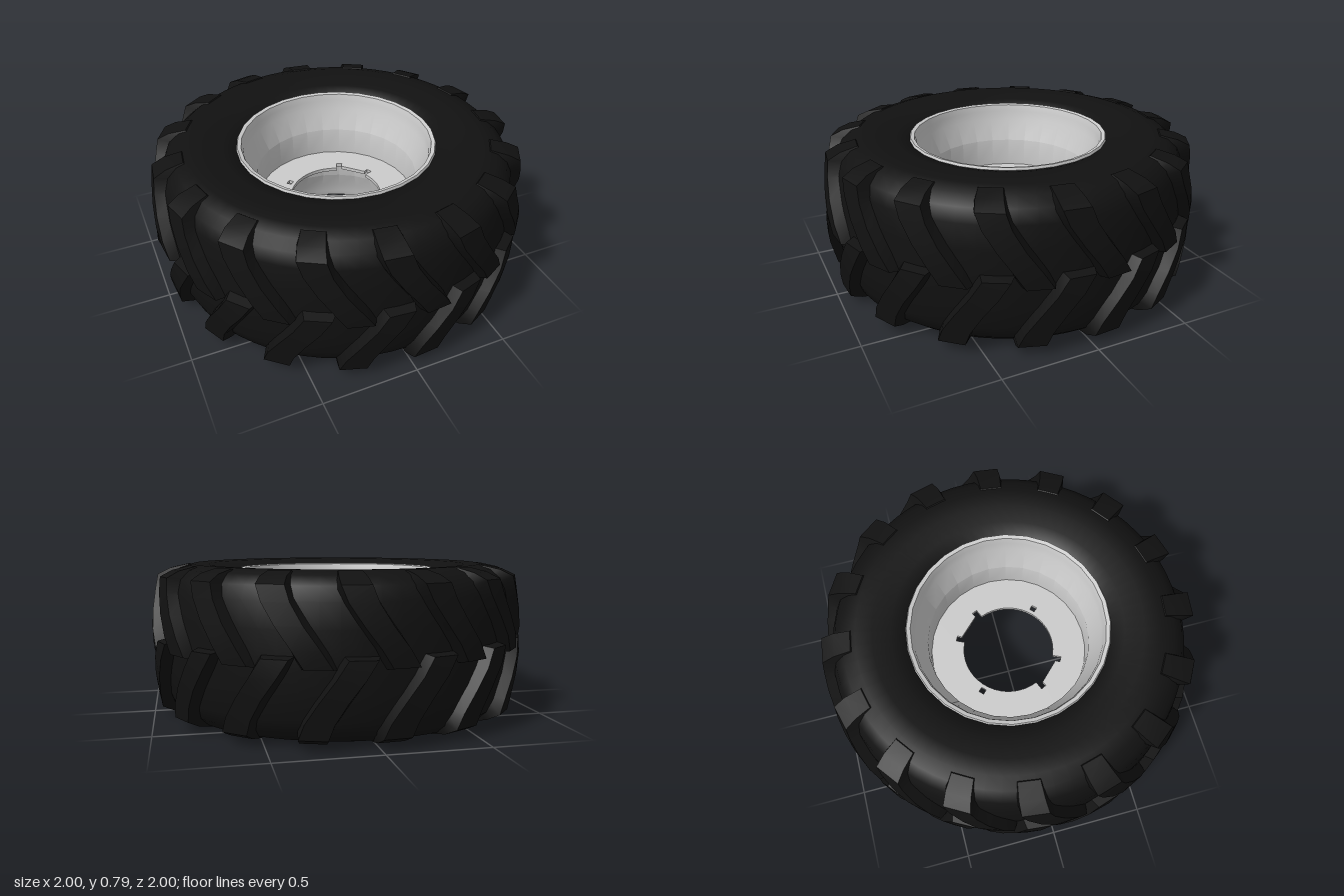
import * as THREE from 'three';
import { toCreasedNormals } from 'three/addons/utils/BufferGeometryUtils.js';

const HEIGHT = 0.79;
const LUGS = 16;
const rubber = new THREE.MeshStandardMaterial({ color: 0x111111 });
const steel = new THREE.MeshStandardMaterial({ color: 0xcccccc, side: THREE.DoubleSide });

// Completes an upper-half profile [radius, y] (top to middle) with its mirror image
function mirroredLathe(half, segments, crease) {
  const upper = half.map(([r, y]) => new THREE.Vector2(r, y));
  const lower = half.map(([r, y]) => new THREE.Vector2(r, HEIGHT - y));
  const geometry = new THREE.LatheGeometry([...lower, ...upper.reverse()], segments);
  return toCreasedNormals(geometry, crease);
}

// Lug stations from the middle of the tread over the shoulder:
// [angle, half width, top radius, top y, base radius, base y]
const STATIONS = [
  [0.10, 0.065, 0.995, 0.375, 0.91, 0.36],
  [0.045, 0.065, 1.0, 0.46, 0.91, 0.46],
  [-0.03, 0.065, 0.992, 0.56, 0.91, 0.56],
  [-0.095, 0.068, 0.978, 0.66, 0.89, 0.65],
  [-0.125, 0.07, 0.965, 0.735, 0.86, 0.69],
  [-0.135, 0.07, 0.9, 0.767, 0.82, 0.72],
  [-0.14, 0.068, 0.81, 0.787, 0.77, 0.75],
];

// One curved tread bar with sloping flanks, lofted through the stations
function lugGeometry(flip) {
  const positions = [];
  const index = [];
  const add = (angle, r, y) =>
    positions.push(r * Math.sin(angle), flip ? HEIGHT - y : y, r * Math.cos(angle));
  for (const [angle, w, rTop, yTop, rBase, yBase] of STATIONS) {
    add(angle - w - 0.03, rBase, yBase);
    add(angle - w, rTop, yTop);
    add(angle + w, rTop, yTop);
    add(angle + w + 0.03, rBase, yBase);
  }
  const quad = (a, b, c, d) =>
    index.push(...(flip ? [a, c, b, a, d, c] : [a, b, c, a, c, d]));
  const last = (STATIONS.length - 1) * 4;
  for (let i = 0; i < last; i += 4) {
    for (let j = 0; j < 3; j++) quad(i + j, i + j + 1, i + j + 5, i + j + 4);
  }
  quad(0, 3, 2, 1);
  quad(last, last + 1, last + 2, last + 3);
  const geometry = new THREE.BufferGeometry();
  geometry.setAttribute('position', new THREE.Float32BufferAttribute(positions, 3));
  geometry.setIndex(index);
  return toCreasedNormals(geometry, 0.6);
}

// Flat centre plate with a large opening, flats between paired corners and two bolt holes
function discGeometry() {
  const rad = THREE.MathUtils.degToRad;
  const at = (deg, r) => new THREE.Vector2(r * Math.cos(rad(deg)), r * Math.sin(rad(deg)));
  const shape = new THREE.Shape().absarc(0, 0, 0.435, 0, Math.PI * 2);
  const opening = [];
  for (const turn of [0, 180]) {
    // square notches at both ends of the flat
    for (const [deg, r] of [[-66, 0.25], [-66, 0.298], [-60, 0.298], [-60, 0.272],
      [-29, 0.272], [-29, 0.298], [-23, 0.298], [-23, 0.25]]) {
      opening.push(at(deg + turn, r));
    }
    for (let deg = -15; deg <= 105; deg += 8) opening.push(at(deg + turn, 0.25));
  }
  shape.holes.push(new THREE.Path(opening));
  for (const deg of [45, 225]) {
    shape.holes.push(new THREE.Path([
      at(deg - 3, 0.27), at(deg + 3, 0.27), at(deg + 3, 0.298), at(deg - 3, 0.298),
    ]));
  }
  const geometry = new THREE.ExtrudeGeometry(shape, { depth: 0.02, bevelEnabled: false, curveSegments: 24 });
  return geometry.rotateX(Math.PI / 2);
}

export function createModel() {
  const model = new THREE.Group();
  model.name = 'tractorWheel';
  const addMesh = (name, geometry, material, parent = model) => {
    const mesh = new THREE.Mesh(geometry, material);
    mesh.name = name;
    parent.add(mesh);
    return mesh;
  };

  // Tyre body
  addMesh('tyreCarcass', mirroredLathe([
    [0.505, 0.72], [0.525, 0.75], [0.6, 0.768], [0.7, 0.786], [0.78, 0.79],
    [0.85, 0.768], [0.9, 0.725], [0.925, 0.66], [0.94, 0.54], [0.945, 0.42],
  ], 64, 1), rubber);

  // Two rows of tread lugs, staggered by half a pitch
  for (const flip of [false, true]) {
    const row = new THREE.Group();
    row.name = flip ? 'lowerLugs' : 'upperLugs';
    const geometry = lugGeometry(flip);
    for (let i = 0; i < LUGS; i++) {
      const lug = addMesh('treadLug', geometry, rubber, row);
      lug.rotation.y = ((i + (flip ? 0.5 : 0)) / LUGS) * Math.PI * 2;
    }
    model.add(row);
  }

  // Stepped rim barrel
  addMesh('rimBarrel', mirroredLathe([
    [0.515, 0.73], [0.53, 0.752], [0.525, 0.765], [0.505, 0.76], [0.495, 0.725],
    [0.49, 0.675], [0.435, 0.56], [0.43, 0.41],
  ], 28, 0.45), steel);

  // Wheel disc
  const disc = addMesh('wheelDisc', discGeometry(), steel);
  disc.position.y = 0.405;

  return model;
}
